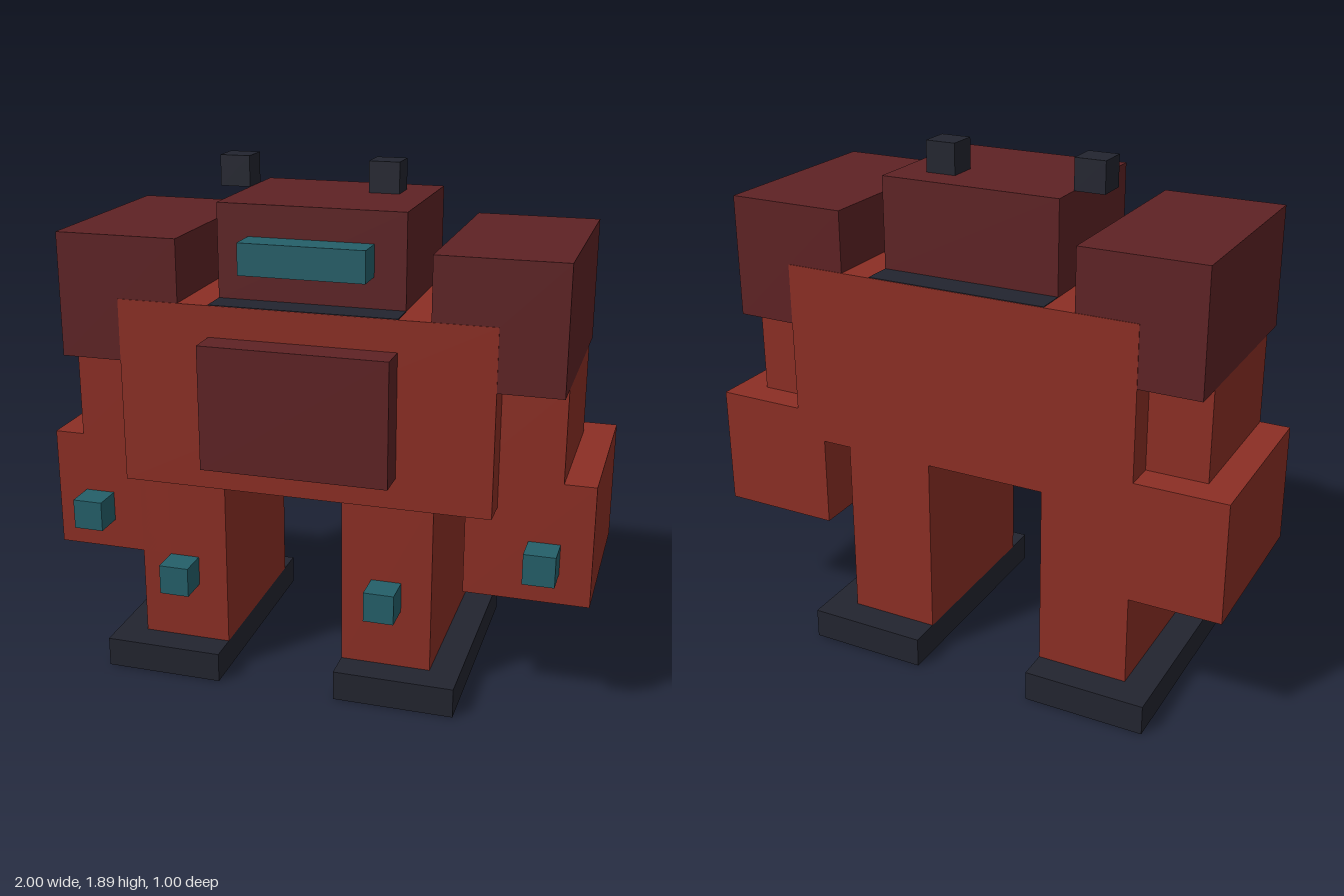
import * as THREE from 'three';

const U = 1 / 9; // one block of the grid

export function createModel() {
  const robot = new THREE.Group();
  robot.name = 'blockRobot';

  const paint = (name, color) => {
    const m = new THREE.MeshStandardMaterial({ color });
    m.name = name;
    return m;
  };
  const red = paint('rustRed', 0x8b2e24);
  const maroon = paint('maroon', 0x5e2224);
  const teal = paint('teal', 0x245f69);
  const navy = paint('darkNavy', 0x22242f);

  // A box given by its extents in blocks
  const block = (name, material, [x0, x1], [y0, y1], [z0, z1], parent = robot) => {
    const mesh = new THREE.Mesh(
      new THREE.BoxGeometry((x1 - x0) * U, (y1 - y0) * U, (z1 - z0) * U), material);
    mesh.position.set((x0 + x1) * U / 2, (y0 + y1) * U / 2, (z0 + z1) * U / 2);
    mesh.name = name;
    parent.add(mesh);
  };

  // Torso with chest plate and a neck collar just proud of its top
  block('torso', red, [-6, 6], [7, 13], [-3.5, 3.5]);
  block('chestPlate', maroon, [-3, 3], [8, 12], [3.5, 4.5]);
  block('neckCollar', navy, [-3, 3], [12, 13.02], [-3.48, 3.48]);

  // Head and visor
  block('head', maroon, [-3, 3], [13, 16], [-2.5, 2.5]);
  block('visor', teal, [-2, 2], [14, 15], [2.5, 3.5]);

  // Antennae and legs sit one block off the mirror line, as on the right side
  for (const [side, antenna, foot, leg, light] of [
    ['right', -4, -7, -6, -5],
    ['left', 1, 1, 1, 2],
  ]) {
    block(side + 'Antenna', navy, [antenna, antenna + 1], [16, 17], [-1.5, -0.5]);
    const limb = new THREE.Group();
    limb.name = side + 'LegGroup';
    robot.add(limb);
    block(side + 'Foot', navy, [foot, foot + 4], [0, 1], [-4.5, 3.5], limb);
    block(side + 'Leg', red, [leg, leg + 3], [1, 7], [-3.5, 2.5], limb);
    block(side + 'KneeLight', teal, [light, light + 1], [3, 4], [2.5, 3.5], limb);
  }

  // Arms, mirrored
  for (const [side, s] of [['right', -1], ['left', 1]]) {
    const span = (a, b) => (s > 0 ? [a, b] : [-b, -a]);
    const arm = new THREE.Group();
    arm.name = side + 'ArmGroup';
    robot.add(arm);
    block(side + 'Shoulder', maroon, span(4, 8), [11, 15], [-3.48, 3.48], arm);
    block(side + 'UpperArm', red, span(5, 8), [8, 11], [-2.5, 2.5], arm);
    block(side + 'Forearm', red, span(5, 9), [4, 8], [-3.5, 2.5], arm);
    block(side + 'WristLight', teal, span(7, 8), [5, 6], [2.5, 3.5], arm);
  }

  return robot;
}
